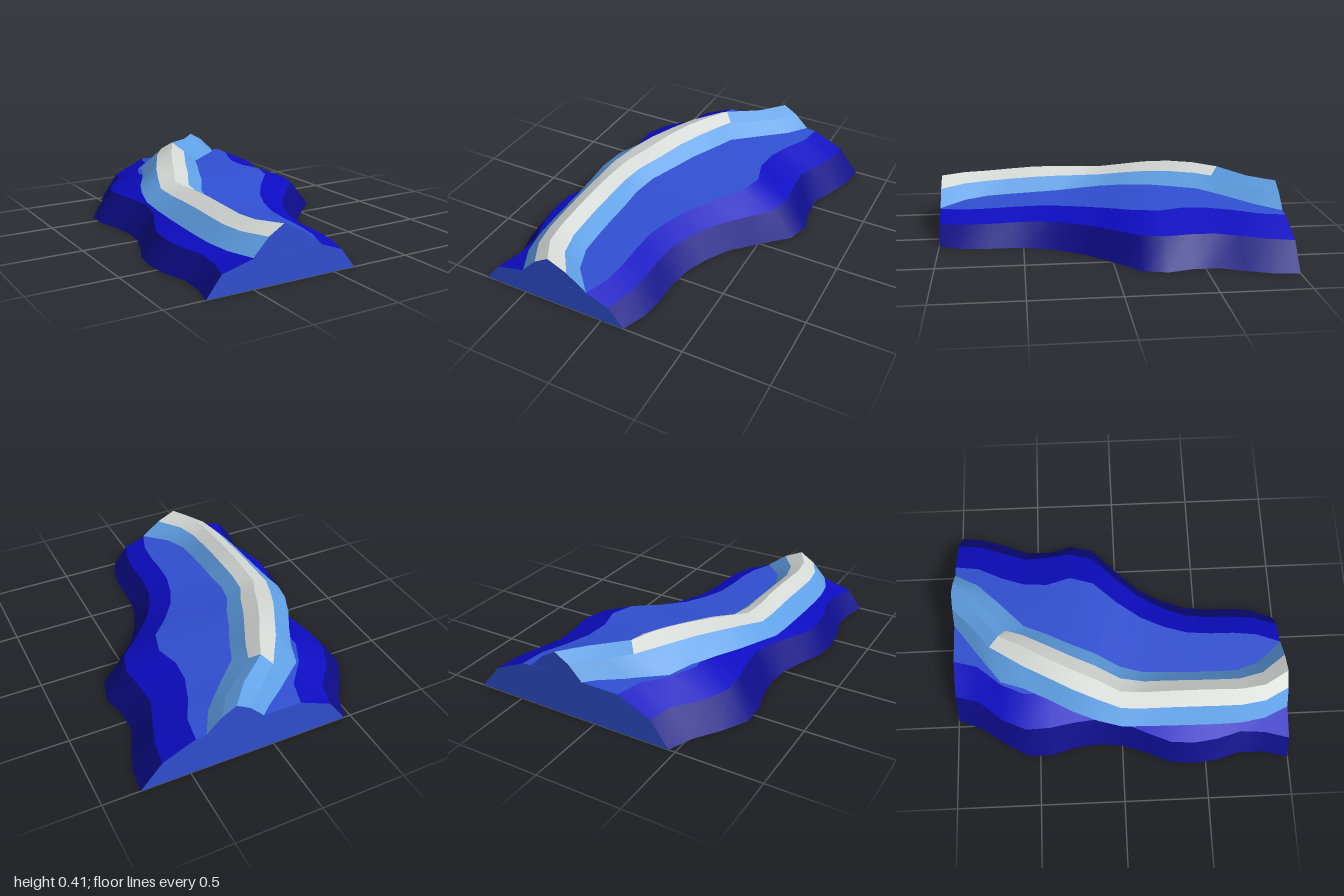
import * as THREE from 'three';

const N = 15;
const mat = (name, color) => new THREE.MeshStandardMaterial({ name, color, side: THREE.DoubleSide });

// A long edge line running back to front, one point per station
const line = (xs, ys, lift = 0) => xs.map((x, i) =>
  new THREE.Vector3(x, (typeof ys === 'number' ? ys : ys[i]) + lift, -1 + 2 * i / (N - 1)));

// Smooth band between a left line and a right line, facing up
function strip(name, a, b, material) {
  const pos = [], idx = [], n = a.length;
  [...a, ...b].forEach(p => pos.push(p.x, p.y, p.z));
  for (let i = 0; i < n - 1; i++) idx.push(i, i + 1, n + i + 1, i, n + i + 1, n + i);
  const g = new THREE.BufferGeometry();
  g.setAttribute('position', new THREE.Float32BufferAttribute(pos, 3));
  g.setIndex(idx);
  g.computeVertexNormals();
  const m = new THREE.Mesh(g, material);
  m.name = name;
  return m;
}

// Flat end face through the given lines at one station
function cap(name, lines, i, material) {
  const pts = lines.map(l => new THREE.Vector2(l[i].x, l[i].y));
  const g = new THREE.ShapeGeometry(new THREE.Shape(pts));
  if (i === 0) {
    g.index.array.reverse();
    g.computeVertexNormals();
  }
  const m = new THREE.Mesh(g, material);
  m.position.z = lines[0][i].z;
  m.name = name;
  return m;
}

export function createModel() {
  const navy = mat('deep navy', 0x0c0c88);
  const blue = mat('medium blue', 0x0c0cc2);
  const royal = mat('royal blue', 0x3050d2);
  const sky = mat('sky blue', 0x60a0e6);
  const pale = mat('pale grey', 0xd4d8d5);

  // Heights along the mound
  const lowY = [.15, .155, .16, .163, .165, .165, .163, .155, .147, .14, .133, .127, .122, .118, .115];
  const sideY = [.238, .242, .247, .25, .252, .252, .247, .225, .208, .198, .19, .184, .178, .172, .165];
  const topY = [.245, .262, .276, .284, .285, .282, .27, .243, .222, .21, .202, .195, .188, .18, .17];
  const crestY = [.378, .38, .395, .408, .402, .383, .355, .325, .326, .333, .331, .323, .313, .312, .315];

  // Mound edges, left to right
  const l0 = line([-.46, -.52, -.62, -.7, -.7, -.66, -.645, -.66, -.71, -.77, -.785, -.77, -.73, -.735, -.77], 0);
  const l1x = [-.35, -.39, -.51, -.575, -.57, -.545, -.53, -.555, -.62, -.68, -.69, -.67, -.63, -.64, -.68];
  const l1 = line(l1x, lowY);
  const l2 = line(l1x.map(x => x + .195), sideY);
  const r2x = [.47, .45, .38, .33, .32, .36, .32, .195, .095, .03, -.01, -.02, -.02, -.035, -.085];
  const r2 = line(r2x, sideY);
  const r1 = line([.66, .64, .59, .54, .545, .565, .525, .385, .26, .175, .125, .11, .11, .095, .05], lowY);
  const r0 = line([.785, .77, .72, .66, .66, .695, .66, .51, .37, .285, .23, .21, .21, .195, .14], 0);

  // Ridge edges
  const blx = [.07, -.12, -.3, -.35, -.42, -.5, -.56, -.595, -.595, -.595, -.595, -.595, -.59, -.565, -.5];
  const cx = [.24, .12, -.06, -.13, -.21, -.28, -.34, -.41, -.42, -.42, -.42, -.42, -.42, -.4, -.32];
  const brx = [.41, .33, .19, .04, -.02, -.09, -.15, -.23, -.265, -.265, -.27, -.27, -.265, -.215, -.085];
  const shoulderY = crestY.map((y, i) => topY[i] + .62 * (y - topY[i]));
  const bl = line(blx, sideY);
  const sl = line(cx.map((x, i) => (x + blx[i]) / 2), shoulderY);
  const crest = line(cx, crestY);
  const sr = line(cx.map((x, i) => (x + brx[i]) / 2), shoulderY);
  const br = line(brx, topY);
  const mid = line(brx.map((x, i) => Math.min(x, r2x[i] - .01)), topY, -.002);
  // The pale cover ends square to the bend of the ridge
  sl[2].set(-.11, .35, -.77);
  sr[2].set(-.01, .35, -.67);

  const mound = new THREE.Group();
  mound.name = 'mound';
  mound.add(
    strip('leftFoot', l0, l1, navy),
    strip('leftSlope', l1, l2, blue),
    strip('leftTop', l2, mid, royal),
    strip('rightTop', mid, r2, royal),
    strip('rightSlope', r2, r1, blue),
    strip('rightFoot', r1, r0, navy),
    strip('underside', r0, l0, navy));

  const ridge = new THREE.Group();
  ridge.name = 'ridge';
  const back = l => l.slice(0, 3), front = l => l.slice(2);
  ridge.add(
    strip('ridgeLeftFlank', bl, sl, sky),
    strip('ridgeRightFlank', sr, br, sky),
    strip('ridgeUnderside', br, bl, sky));
  [['Left', sl, crest], ['Right', crest, sr]].forEach(([side, a, b]) => ridge.add(
    strip('bareCrest' + side, back(a), back(b), sky),
    strip('paleCrest' + side, front(a), front(b), pale)));

  // End faces
  [['back', 0], ['front', N - 1]].forEach(([end, i]) => {
    mound.add(cap(end + 'MoundFace', [l0, l1, l2, mid, r2, r1, r0], i, royal));
    ridge.add(cap(end + 'RidgeFace', [bl, sl, crest, sr, br], i, royal));
  });

  const model = new THREE.Group();
  model.name = 'ridgedLandform';
  model.add(mound, ridge);
  return model;
}
